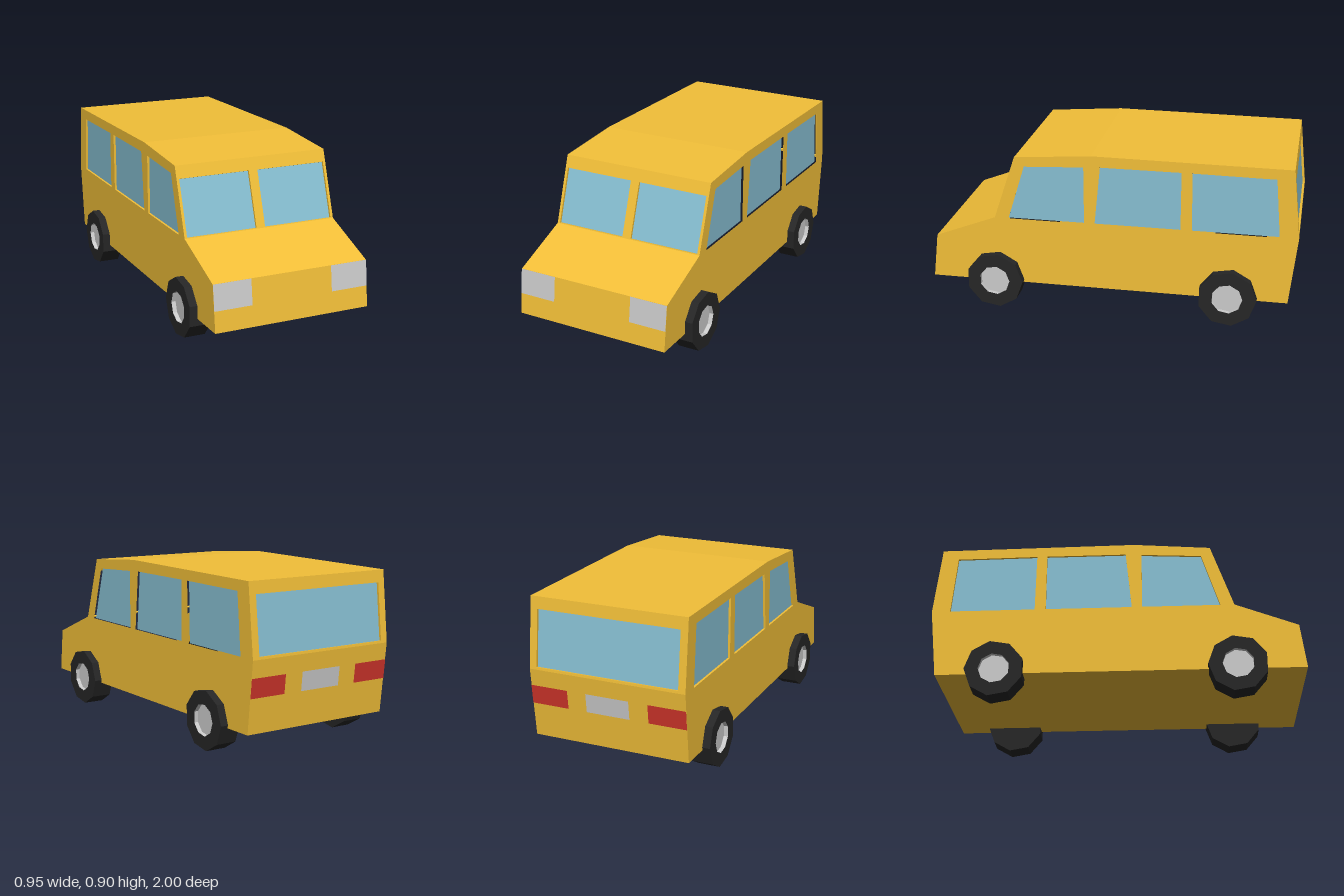
import * as THREE from 'three';

const mat = (color) => new THREE.MeshStandardMaterial({ color, flatShading: true });
const paint = mat(0xf2bf38);
const glass = mat(0x87bfd2);
const rubber = mat(0x262626);
const grey = mat(0xcccccc);
const red = mat(0xd0352b);

const HALF = 0.4325;   // half body width
const RECESS = 0.012;  // depth of the glass behind the panels

// body outline as [z, y]: up the front, back along the roof, down the rear
const profile = [
  [1, 0.14], [0.97, 0.385], [0.635, 0.515], [0.515, 0.868],
  [0.1, 0.9], [-0.96, 0.892], [-1, 0.515], [-0.96, 0.14],
];

const sideWindows = [
  [[0.56, 0.515], [0.465, 0.818], [0.14, 0.835], [0.14, 0.515]],
  [[0.085, 0.515], [0.053, 0.84], [-0.38, 0.84], [-0.38, 0.515]],
  [[-0.44, 0.515], [-0.435, 0.84], [-0.872, 0.836], [-0.9, 0.515]],
];

const toShape = (pts) => new THREE.Shape(pts.map(([x, y]) => new THREE.Vector2(x, y)));
const rect = (x0, x1, y0, y1) => [[x0, y0], [x1, y0], [x1, y1], [x0, y1]];

function addMesh(parent, geometry, material, name) {
  const mesh = new THREE.Mesh(geometry, material);
  mesh.name = name;
  parent.add(mesh);
  return mesh;
}

// flat body panel facing local +z, with recessed glass in its openings
function makePanel(name, outline, windows = []) {
  const panel = new THREE.Group();
  panel.name = name;
  const shape = toShape(outline);
  if (windows.length === 0) {
    addMesh(panel, new THREE.ShapeGeometry(shape), paint, name + 'Skin');
    return panel;
  }
  shape.holes = windows.map((w) => new THREE.Path(toShape(w).getPoints()));
  const depth = RECESS + 0.002;
  const skin = new THREE.ExtrudeGeometry(shape, { depth, bevelEnabled: false });
  addMesh(panel, skin.translate(0, 0, -depth), paint, name + 'Skin');
  for (const w of windows) {
    addMesh(panel, new THREE.ShapeGeometry(toShape(w)), glass, name + 'Window').position.z = -RECESS;
  }
  return panel;
}

// what each profile segment carries; heights are fractions along the segment
const segments = [
  { name: 'frontPanel', lamps: [
    ['headlight', grey, -HALF, -0.225, 0.45, 1], ['headlight', grey, 0.225, HALF, 0.45, 1]] },
  { name: 'hood' },
  { name: 'windshieldPanel', windows: [[-0.418, -0.025, 0.014, 0.816], [0.025, 0.418, 0.014, 0.816]] },
  { name: 'roofFront' },
  { name: 'roofRear' },
  { name: 'rearWindowPanel', windows: [[-0.393, 0.393, 0.17, 0.965]] },
  { name: 'rearPanel', lamps: [
    ['tailLight', red, -HALF, -0.225, 0.24, 0.51], ['tailLight', red, 0.225, HALF, 0.24, 0.51],
    ['numberPlate', grey, -0.12, 0.12, 0.24, 0.51]] },
  { name: 'floor' },
];

function makeBody() {
  const body = new THREE.Group();
  body.name = 'body';

  // panels across the width, one per profile segment
  segments.forEach(({ name, windows = [], lamps = [] }, i) => {
    const [z0, y0] = profile[i];
    const [z1, y1] = profile[(i + 1) % profile.length];
    const len = Math.hypot(z1 - z0, y1 - y0);
    const panel = makePanel(name, rect(-HALF, HALF, 0, len),
      windows.map(([a, b, s, t]) => rect(a, b, s * len, t * len)));
    for (const [lampName, material, a, b, s, t] of lamps) {
      const lamp = new THREE.ShapeGeometry(toShape(rect(a, b, s * len, t * len)));
      addMesh(panel, lamp, material, lampName).position.z = 0.002;
    }
    panel.position.set(0, y0, z0);
    panel.rotation.x = Math.atan2(z1 - z0, y1 - y0);
    body.add(panel);
  });

  // sides
  for (const side of [-1, 1]) {
    const flip = (pts) => pts.map(([z, y]) => [-side * z, y]);
    const panel = makePanel(side > 0 ? 'leftSide' : 'rightSide', flip(profile), sideWindows.map(flip));
    panel.rotation.y = side * Math.PI / 2;
    panel.position.x = side * HALF;
    body.add(panel);
  }
  return body;
}

// nine-sided tyre with a sunken hub
function makeWheel(side, z) {
  const wheel = new THREE.Group();
  wheel.name = (z > 0 ? 'front' : 'rear') + (side > 0 ? 'Left' : 'Right') + 'Wheel';
  const turn = (pts) => new THREE.LatheGeometry(
    pts.map(([r, x]) => new THREE.Vector2(r, x)), 9, Math.PI);
  addMesh(wheel, turn([[0, 0.36], [0.158, 0.36], [0.158, 0.475], [0.084, 0.475]]), rubber, 'tyre');
  addMesh(wheel, turn([[0.084, 0.475], [0.084, 0.452], [0, 0.452]]), grey, 'hub');
  wheel.rotation.z = -side * Math.PI / 2;
  wheel.position.set(0, 0.1556, z);
  return wheel;
}

export function createModel() {
  const model = new THREE.Group();
  model.name = 'van';
  model.add(makeBody());
  for (const z of [0.64, -0.64]) {
    for (const side of [-1, 1]) model.add(makeWheel(side, z));
  }
  return model;
}
